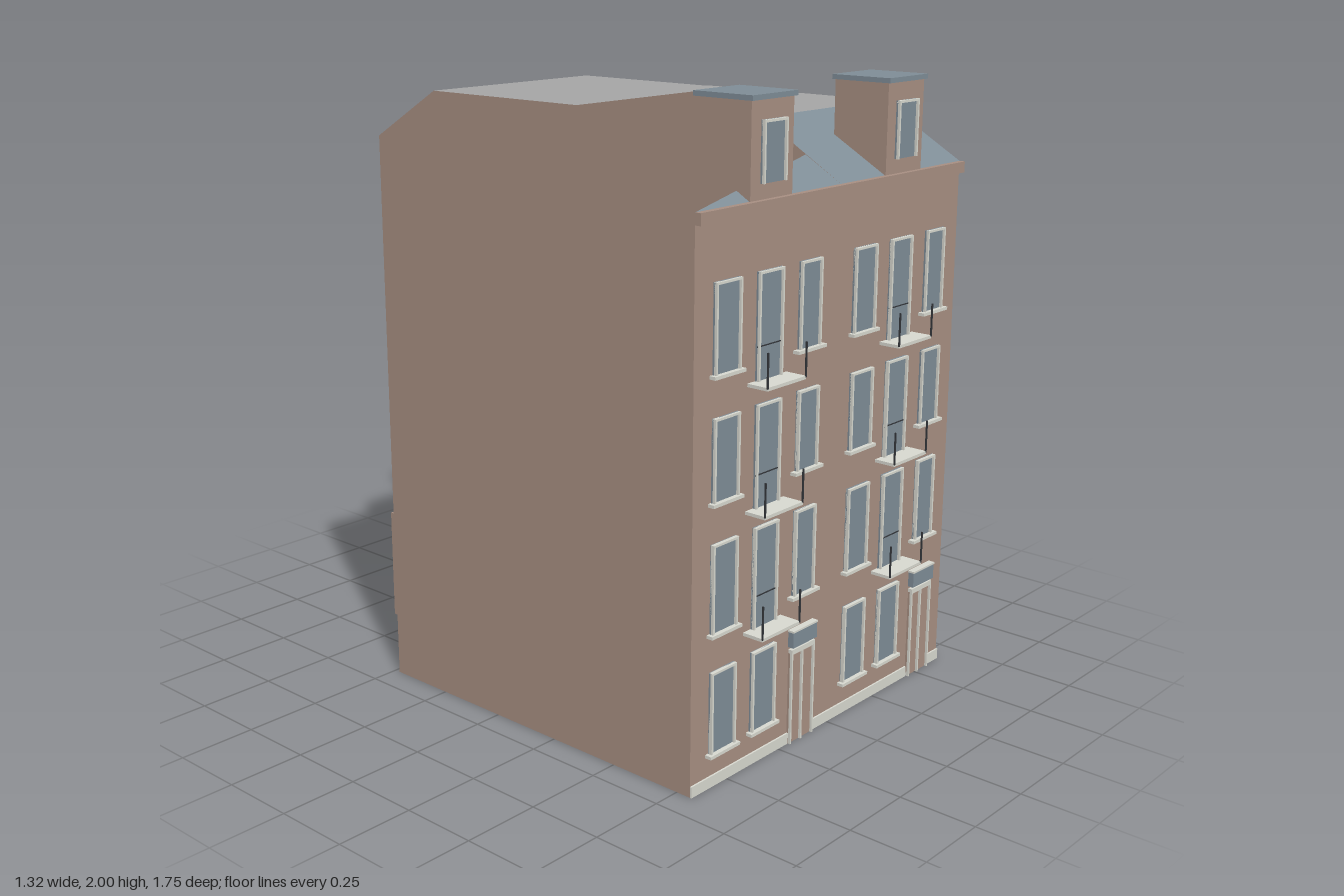
import * as THREE from 'three';

const flat = (name, color) => new THREE.MeshStandardMaterial({ name, color, side: THREE.DoubleSide, flatShading: true });
const brick = flat('brick', 0xa88f82);
const grey = flat('flat roof grey', 0xa6a6a6);
const slate = flat('slate and glass blue', 0x7f8d97);
const trim = flat('pale stone trim', 0xd8d9d0);
const iron = flat('dark iron', 0x33363a);

export function createModel() {
  const model = new THREE.Group();
  model.name = 'townhouses';

  const addGeo = (name, geo, mat, parent = model) => {
    const mesh = new THREE.Mesh(geo, mat);
    mesh.name = name;
    parent.add(mesh);
    return mesh;
  };
  // Box given by its limits on each axis
  const box = (name, x0, x1, y0, y1, z0, z1, mat, parent) => {
    const m = addGeo(name, new THREE.BoxGeometry(x1 - x0, y1 - y0, z1 - z0), mat, parent);
    m.position.set((x0 + x1) / 2, (y0 + y1) / 2, (z0 + z1) / 2);
    return m;
  };
  const surface = (name, points, index, mat) => {
    const geo = new THREE.BufferGeometry();
    geo.setAttribute('position', new THREE.Float32BufferAttribute(points.flat(), 3));
    geo.setIndex(index);
    const g = geo.toNonIndexed();
    g.computeVertexNormals();
    return addGeo(name, g, mat);
  };
  // Upright wall along [x, z, top] points
  const wall = (name, line, base, mat) => {
    const pts = [], idx = [];
    line.forEach(([x, z, top], i) => {
      pts.push([x, base, z], [x, top, z]);
      if (i) {
        const a = 2 * i - 2;
        idx.push(a, a + 2, a + 3, a, a + 3, a + 1);
      }
    });
    return surface(name, pts, idx, mat);
  };
  // Level or sloping face from [x, y, z] corners, counter-clockwise from above
  const face = (name, pts, mat) => {
    const tris = THREE.ShapeUtils.triangulateShape(pts.map(p => new THREE.Vector2(p[0], -p[2])), []);
    return surface(name, pts, tris.flat(), mat);
  };

  // Outer walls, round both houses and the rear wing
  const outline = [
    [-0.66, 0.8, 1.71], [0.645, 0.8, 1.71], [0.65, 0.5, 1.88], [0.656, 0, 1.88],
    [0.645, -0.23, 1.88], [0.555, -0.39, 1.88], [0.265, -0.39, 1.88], [0.265, -0.58, 1.88],
    [0.265, -0.875, 1.71], [0, -0.875, 1.71], [0, -0.875, 0.39], [-0.345, -0.875, 0.39],
    [-0.345, -0.64, 0.39], [-0.345, -0.64, 1.715], [-0.345, -0.48, 1.805], [-0.66, -0.48, 1.805],
    [-0.66, -0.22, 1.96], [-0.66, 0.37, 1.96], [-0.66, 0.8, 1.71],
  ];
  wall('outerWalls', outline, 0, brick);
  wall('recessWall', [[0, -0.64, 1.715], [-0.345, -0.64, 1.715]], 0.39, brick);
  wall('partyWall', [[0, -0.875, 1.71], [0, -0.58, 1.88], [0, -0.35, 1.88], [0, -0.22, 1.96],
    [0, 0.37, 1.96], [0, 0.8, 1.71]], 0, brick);
  face('recessLedge', [[-0.345, 0.39, -0.64], [0, 0.39, -0.64], [0, 0.39, -0.875], [-0.345, 0.39, -0.875]], brick);
  const ground = outline.filter((p, i) => ![10, 13, 18].includes(i)).map(([x, z]) => [x, 0, z]);
  face('floor', ground, brick);

  // Roofs
  face('leftFlatRoof', [[-0.66, 1.96, 0.37], [0, 1.96, 0.37], [0, 1.96, -0.22], [-0.66, 1.96, -0.22]], grey);
  face('rightFlatRoof', [[0, 1.88, 0.5], ...outline.slice(2, 8).map(([x, z]) => [x, 1.88, z]), [0, 1.88, -0.58]], grey);
  face('frontSlope', [[0, 1.71, 0.8], [0.645, 1.71, 0.8], [0.65, 1.88, 0.5], [0, 1.88, 0.5]], slate);
  face('frontSlopeWedge', [[-0.66, 1.71, 0.8], [0, 1.71, 0.8], [0, 1.784, 0.67]], slate);
  face('rearSlope', [[0, 1.88, -0.58], [0.265, 1.88, -0.58], [0.265, 1.71, -0.875], [0, 1.71, -0.875]], slate);
  face('rearRoofSliver', [[-0.345, 1.715, -0.64], [-0.345, 1.805, -0.48], [0, 1.96, -0.22]], slate);

  // Cornice and plinth
  box('cornice', -0.66, 0.645, 1.675, 1.71, 0.8, 0.82, brick);
  for (const [a, b] of [[-0.66, -0.2], [-0.08, 0.45], [0.57, 0.645]])
    box('plinth', a, b, 0, 0.035, 0.8, 0.806, trim);

  // Thin glass plate with a narrow frame round it
  const framedGlass = (name, x, y0, y1, w, z) => {
    const g = new THREE.Group();
    g.name = name;
    model.add(g);
    const h = w / 2, t = 0.007;
    box('glass', x - h, x + h, y0, y1, z - 0.002, z + 0.004, slate, g);
    for (const s of [-1, 1]) {
      const c = x + s * (h - t / 2);
      box('frameSide', c - t / 2, c + t / 2, y0, y1, z, z + 0.012, trim, g);
    }
    box('frameTop', x - h, x + h, y1 - t, y1, z, z + 0.012, trim, g);
    return g;
  };

  const rows = [[0.11, 0.365], [0.485, 0.755], [0.88, 1.125], [1.25, 1.51]];
  const balconyY = [0, 0.435, 0.81, 1.19];
  for (const cx of [-0.335, 0.32]) {
    rows.forEach(([y0, y1], row) => {
      for (const col of [-1, 0, 1]) {
        const x = cx + col * 0.19;
        if (row === 0 && col === 1) continue;
        const tall = row > 0 && col === 0;
        framedGlass(tall ? 'balconyDoor' : 'window', x, tall ? balconyY[row] : y0, y1, col === 1 ? 0.1 : 0.112, 0.803);
        if (!tall) box('sill', x - 0.068, x + 0.068, y0 - 0.01, y0, 0.8, 0.822, trim);
      }
      // Balcony slab, corner posts and rail
      if (row > 0) {
        const y = balconyY[row];
        box('balconySlab', cx - 0.09, cx + 0.09, y - 0.006, y + 0.004, 0.8, 0.872, trim);
        for (const s of [-1, 1])
          box('balconyPost', cx + s * 0.089 - 0.002, cx + s * 0.089 + 0.002, y, y + 0.105, 0.869, 0.874, iron);
        box('balconyRail', cx - 0.056, cx + 0.056, y + 0.103, y + 0.106, 0.806, 0.81, iron);
      }
    });

    // Entrance: brick-coloured door, pale frame, glazed hood
    const d = cx + 0.192;
    box('door', d - 0.058, d + 0.058, 0, 0.3, 0.8, 0.807, brick);
    for (const e of [-0.058, -0.006, 0.052])
      box('doorFrame', d + e, d + e + 0.006, 0, 0.3, 0.8, 0.815, trim);
    box('doorFrameTop', d - 0.058, d + 0.058, 0.296, 0.312, 0.8, 0.815, trim);
    box('doorHood', d - 0.06, d + 0.06, 0.32, 0.37, 0.8, 0.82, slate);
    box('doorHoodEdge', d - 0.062, d + 0.062, 0.37, 0.376, 0.8, 0.822, trim);

    // Dormer
    box('dormerBody', cx - 0.095, cx + 0.095, 1.7, 1.985, 0.61, 0.803, brick);
    box('dormerCap', cx - 0.102, cx + 0.102, 1.985, 2, 0.602, 0.812, slate);
    framedGlass('dormerWindow', cx, 1.755, 1.93, 0.105, 0.806);
  }
  return model;
}
